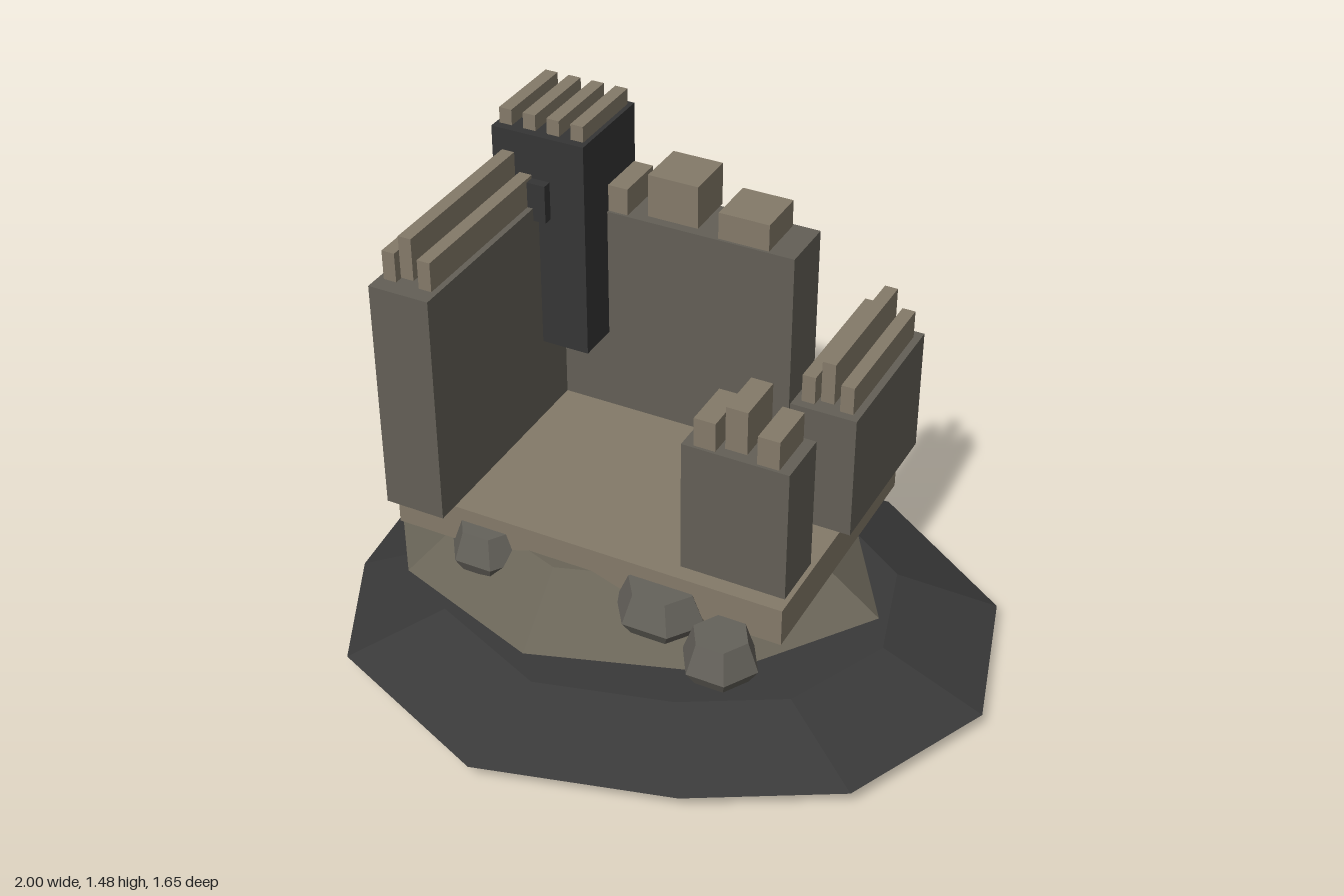
import * as THREE from 'three';

const flat = (name, color) => {
  const m = new THREE.MeshStandardMaterial({ color });
  m.name = name;
  return m;
};

// Closed faceted solid: an outline [x, z] (anticlockwise from above) repeated
// at several heights [y, scale], scaled about a centre
function rock(outline, [cx, cz], rings) {
  const n = outline.length;
  const point = ([y, s], i) => {
    const [x, z] = outline[(i + n) % n];
    return [cx + (x - cx) * s, y, cz + (z - cz) * s];
  };
  const pos = [];
  const first = rings[0], last = rings[rings.length - 1];
  for (let i = 0; i < n; i++) {
    for (let r = 0; r < rings.length - 1; r++) {
      const a = point(rings[r], i), b = point(rings[r], i + 1);
      const c = point(rings[r + 1], i + 1), d = point(rings[r + 1], i);
      pos.push(...a, ...b, ...c, ...a, ...c, ...d);
    }
    pos.push(cx, first[0], cz, ...point(first, i + 1), ...point(first, i));
    pos.push(cx, last[0], cz, ...point(last, i), ...point(last, i + 1));
  }
  const g = new THREE.BufferGeometry();
  g.setAttribute('position', new THREE.Float32BufferAttribute(pos, 3));
  g.computeVertexNormals();
  return g;
}

export function createModel() {
  const model = new THREE.Group();
  model.name = 'ruinedFort';

  const basalt = flat('dark basalt', 0x393939);
  const charcoal = flat('charcoal stone', 0x353535);
  const earth = flat('brown earth rock', 0x6a6558);
  const wall = flat('grey wall stone', 0x635f56);
  const sand = flat('sandy stone', 0x847a69);
  const boulder = flat('boulder grey', 0x65625b);

  const add = (name, geometry, material, parent = model) => {
    const mesh = new THREE.Mesh(geometry, material);
    mesh.name = name;
    parent.add(mesh);
    return mesh;
  };
  // Box given by its extents on each axis
  const box = (name, [x0, x1], [y0, y1], [z0, z1], material, parent) => {
    const mesh = add(name, new THREE.BoxGeometry(x1 - x0, y1 - y0, z1 - z0), material, parent);
    mesh.position.set((x0 + x1) / 2, (y0 + y1) / 2, (z0 + z1) / 2);
  };
  // Row of merlons along x: each entry is [x0, y0, y1]
  const merlons = (name, width, z, entries) => {
    const row = new THREE.Group();
    row.name = name;
    model.add(row);
    for (const [x, y0, y1] of entries) box('merlon', [x, x + width], [y0, y1], z, sand, row);
  };

  // Wide irregular base
  const baseOutline = [
    [1, -0.02], [0.87, -0.495], [0.38, -0.83], [-0.19, -0.795], [-0.67, -0.71], [-0.995, -0.25],
    [-0.945, 0.2], [-0.75, 0.59], [-0.195, 0.825], [0.38, 0.67], [0.79, 0.44],
  ];
  add('baseRock', rock(baseOutline, [0, 0], [[0, 0.82], [0.06, 1], [0.195, 0.69]]), basalt);

  // Mound carrying the fort
  const moundOutline = [
    [0.64, -0.1], [0.38, -0.52], [-0.2, -0.7], [-0.8, -0.53],
    [-1, -0.1], [-0.69, 0.33], [-0.2, 0.5], [0.34, 0.32],
  ];
  add('mound', rock(moundOutline, [-0.19, -0.1], [[0.14, 0.76], [0.22, 1], [0.405, 0.7]]), earth);

  // Courtyard floor
  box('floorSlab', [-0.735, 0.5], [0.36, 0.48], [-0.54, 0.285], sand);

  // Tall side wall with rails along its top
  box('tallWall', [-0.728, -0.54], [0.48, 1.21], [-0.564, 0.35], wall);
  merlons('tallWallTop', 0.04, [-0.51, 0.3],
    [[-0.71, 1.21, 1.3], [-0.653, 1.23, 1.36], [-0.598, 1.21, 1.3]]);

  // Back wall
  box('backWall', [-0.57, 0.21], [0.48, 1.155], [-0.566, -0.385], wall);
  merlons('backWallTop', 0.16, [-0.555, -0.393],
    [[-0.485, 1.155, 1.24], [-0.258, 1.17, 1.305], [-0.033, 1.155, 1.24]]);

  // Low side wall
  box('lowWall', [0.332, 0.532], [0.48, 0.873], [-0.61, -0.108], wall);
  merlons('lowWallTop', 0.04, [-0.58, -0.135],
    [[0.354, 0.873, 0.96], [0.412, 0.89, 1.02], [0.47, 0.873, 0.96]]);

  // Short front wall
  box('frontWall', [0.165, 0.485], [0.48, 0.9], [0.06, 0.235], wall);
  merlons('frontWallTop', 0.065, [0.07, 0.226],
    [[0.198, 0.9, 0.99], [0.292, 0.92, 1.055], [0.386, 0.9, 0.99]]);

  // Dark corner tower with a projecting window
  box('tower', [-0.685, -0.388], [0.74, 1.428], [-0.56, -0.25], charcoal);
  box('towerWindow', [-0.56, -0.5], [1.17, 1.29], [-0.26, -0.22], charcoal);
  merlons('towerTop', 0.04, [-0.545, -0.277],
    [0, 1, 2, 3].map((i) => [-0.673 + i * 0.077, 1.428, 1.477]));

  // Boulders along the front edge: [x, z, half width, half depth]
  for (const [x, z, rx, rz] of [
    [-0.445, 0.27, 0.117, 0.1], [0.13, 0.29, 0.14, 0.115], [0.371, 0.4, 0.115, 0.112],
  ]) {
    const outline = Array.from({ length: 6 }, (_, i) => {
      const a = -i * Math.PI / 3;
      return [x + rx * Math.cos(a), z + rz * Math.sin(a)];
    });
    add('boulder', rock(outline, [x, z], [[0.302, 0.76], [0.345, 1], [0.437, 0.72]]), boulder);
  }

  return model;
}
